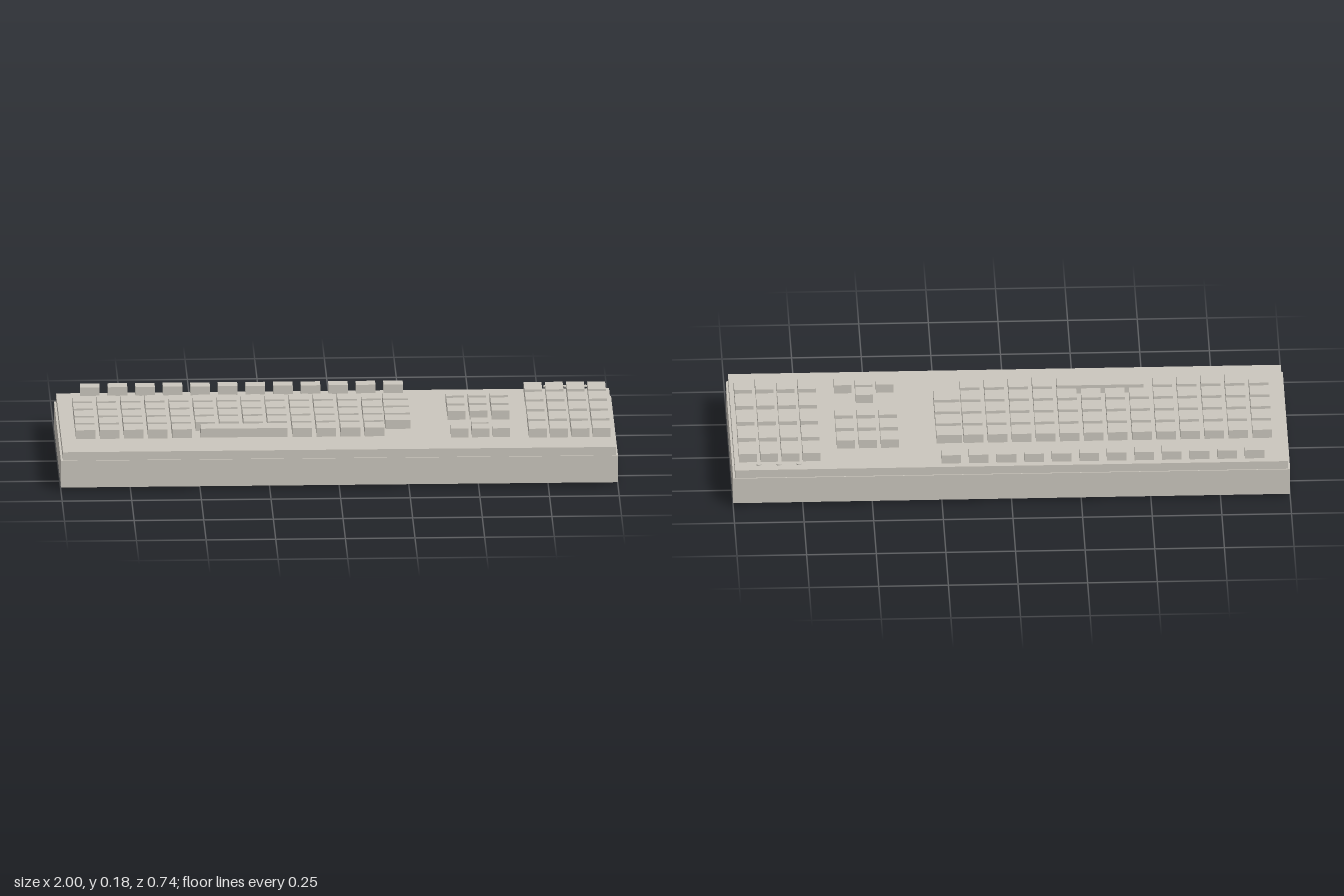
import * as THREE from 'three';

export function createModel() {
  const model = new THREE.Group();
  model.name = 'keyboard';
  const caseMat = new THREE.MeshStandardMaterial({ color: 0xcac6bd });
  caseMat.name = 'warm grey plastic';
  const footMat = new THREE.MeshStandardMaterial({ color: 0x606262 });
  footMat.name = 'dark rubber';

  // Box given by its centre in x and z, and its bottom and top heights
  function box(parent, name, mat, x, z, w, d, y0, y1) {
    const mesh = new THREE.Mesh(new THREE.BoxGeometry(w, y1 - y0, d), mat);
    mesh.position.set(x, (y0 + y1) / 2, z);
    mesh.name = name;
    parent.add(mesh);
  }
  function section(name) {
    const g = new THREE.Group();
    g.name = name;
    model.add(g);
    return g;
  }
  const key = (parent, name, x, z, w, d) => box(parent, name, caseMat, x, z, w, d, 0.15, 0.183);

  // Case: lower tray and slightly smaller top plate
  box(model, 'lowerCase', caseMat, 0, 0, 2, 0.742, 0.012, 0.112);
  box(model, 'topPlate', caseMat, 0, 0, 1.985, 0.734, 0.112, 0.143);

  // Separate row of keys along the back
  const backRowKeys = section('backRowKeys');
  for (let i = 0; i < 12; i++) key(backRowKeys, 'backRowKey', -0.873 + i * 0.099, -0.329, 0.07, 0.05);

  // Main block: four full rows with a wide end key, then the space bar row
  const mainKeys = section('mainKeys');
  for (let r = 0; r < 5; r++) {
    const z = -0.165 + r * 0.0895;
    for (let c = 0; c < 13; c++) {
      if (r === 4 && c > 4 && c < 9) continue;
      key(mainKeys, 'letterKey', -0.906 + c * 0.0864, z, 0.07, 0.07);
    }
    if (r < 4) key(mainKeys, 'wideKey', 0.218, z, 0.091, 0.07);
    else key(mainKeys, 'spaceBar', -0.337, z, 0.312, 0.062);
  }

  // Navigation block and arrow cluster
  const navigationKeys = section('navigationKeys');
  for (let c = -1; c <= 1; c++) {
    for (let r = 0; r < 3; r++) key(navigationKeys, 'navigationKey', 0.511 + c * 0.079, -0.192 + r * 0.095, 0.064, 0.07);
    key(navigationKeys, 'arrowKey', 0.511 + c * 0.075, 0.223, 0.062, 0.06);
  }
  key(navigationKeys, 'upArrowKey', 0.511, 0.147, 0.062, 0.06);

  // Number pad
  const numberPad = section('numberPad');
  for (let r = 0; r < 5; r++) {
    for (let c = 0; c < 4; c++) key(numberPad, 'numberKey', 0.716 + c * 0.0762, -0.272 + r * 0.1222, 0.064, 0.094);
  }

  // Indicator lights
  for (let i = 0; i < 3; i++) {
    const light = new THREE.Mesh(new THREE.CylinderGeometry(0.009, 0.009, 0.004, 16), caseMat);
    light.position.set(0.763 + i * 0.072, 0.157, -0.349);
    light.name = 'indicatorLight';
    model.add(light);
  }

  // Rear feet
  for (const s of [-1, 1]) box(model, 'rearFoot', footMat, s * 0.754, -0.282, 0.185, 0.086, 0, 0.013);

  return model;
}
